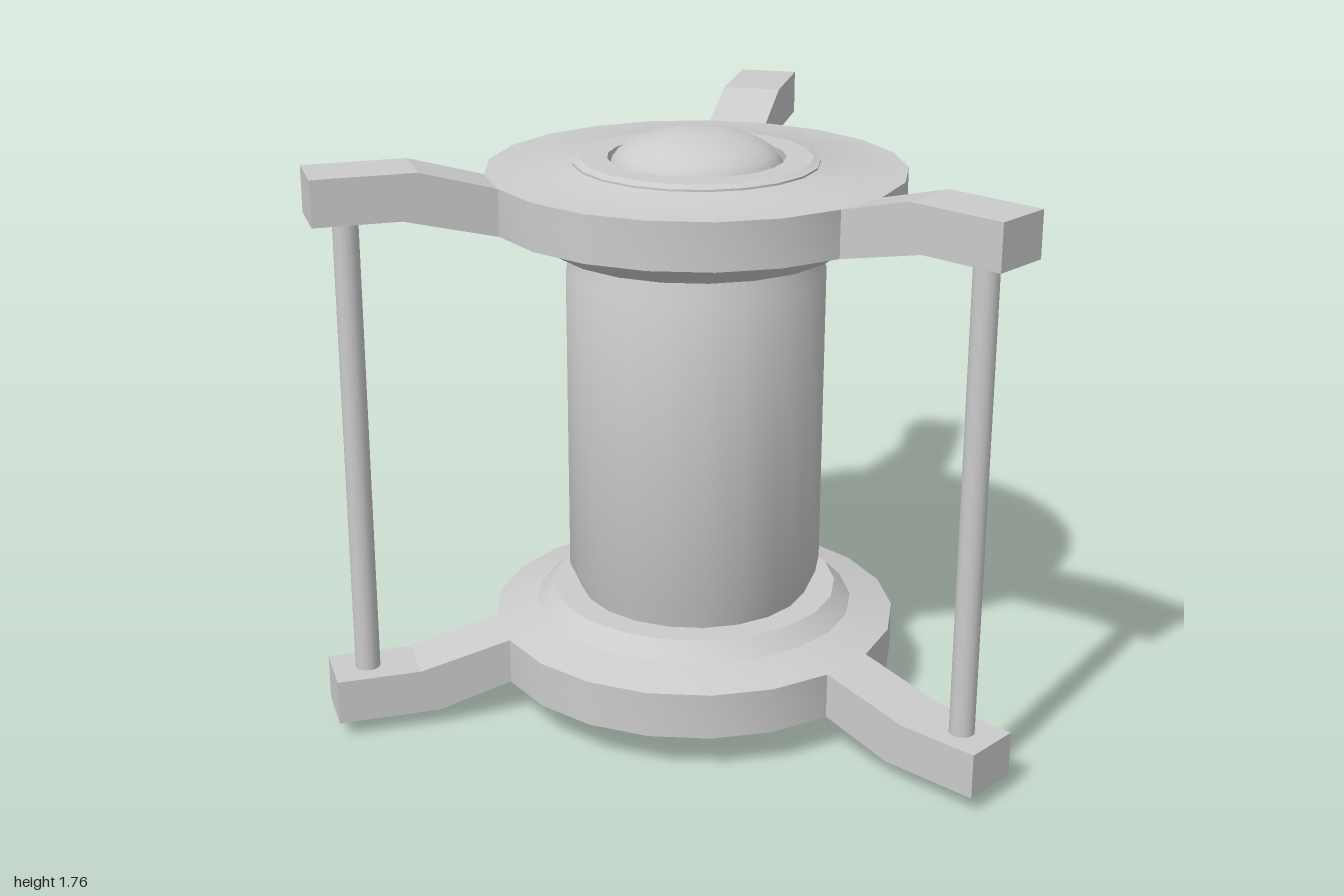
import * as THREE from 'three';
import { toCreasedNormals } from 'three/addons/utils/BufferGeometryUtils.js';

const SIDES = 21;
const ARM_ANGLES = [0, 1, 2].map((i) => (i * 2 * Math.PI) / 3);
const material = new THREE.MeshStandardMaterial({ color: 0xcccccc });

function mesh(name, geometry, parent) {
  const m = new THREE.Mesh(geometry, material);
  m.name = name;
  parent.add(m);
  return m;
}

// Revolved profile of [radius, height] points, listed along the outside from bottom to top
function lathe(profile, crease) {
  const points = profile.map(([r, y]) => new THREE.Vector2(r, y));
  const g = new THREE.LatheGeometry(points, SIDES, Math.PI / 2 + Math.PI / SIDES);
  return toCreasedNormals(g, crease);
}

// Cranked bracket arm: side outline extruded across its width
function armGeometry() {
  const outline = [
    [0.58, 0.628], [0.61, 0.628], [0.88, 0.693], [1.13, 0.693],
    [1.13, 0.828], [0.83, 0.828], [0.61, 0.766], [0.58, 0.766],
  ].map(([r, y]) => new THREE.Vector2(r, y));
  const g = new THREE.ExtrudeGeometry(new THREE.Shape(outline), { depth: 0.18, bevelEnabled: false });
  return g.translate(0, 0, -0.09);
}

// Flange with raised collar, domed end and three arms; heights are from the mid-plane
function createEnd(name) {
  const end = new THREE.Group();
  end.name = name;

  mesh('flange', lathe([
    [0.3, 0.543], [0.435, 0.543], [0.485, 0.593], [0.615, 0.628], [0.615, 0.766],
    [0.36, 0.782], [0.36, 0.788], [0.34, 0.798], [0.26, 0.798], [0.26, 0.755], [0, 0.755],
  ], 0.45), end);

  const domeShape = new THREE.SphereGeometry(0.255, SIDES, 7, 0, Math.PI * 2, 0, Math.PI / 2);
  domeShape.scale(1, 0.45, 1);
  mesh('dome', domeShape, end).position.y = 0.763;

  const arm = armGeometry();
  ARM_ANGLES.forEach((a) => { mesh('arm', arm, end).rotation.y = a; });
  return end;
}

export function createModel() {
  const model = new THREE.Group();
  model.name = 'model';

  const assembly = new THREE.Group();
  assembly.name = 'spool';
  assembly.position.set(0.106, 0.8775, 0.138);
  assembly.rotation.y = -2.5 * ((2 * Math.PI) / SIDES);
  model.add(assembly);

  // Central drum with tapered shoulders
  mesh('drum', lathe([[0.35, -0.56], [0.35, -0.545], [0.385, -0.465],
    [0.385, 0.465], [0.35, 0.545], [0.35, 0.56]], 0.7), assembly);

  // Matching ends, the lower one turned over
  assembly.add(createEnd('topEnd'));
  const bottom = createEnd('bottomEnd');
  bottom.rotation.x = Math.PI;
  assembly.add(bottom);

  // Tie rods between the arm tips
  const rod = new THREE.CylinderGeometry(0.037, 0.037, 1.4, 16);
  ARM_ANGLES.forEach((a) => {
    mesh('tieRod', rod, assembly).position.set(1.025 * Math.cos(a), 0, -1.025 * Math.sin(a));
  });

  return model;
}
